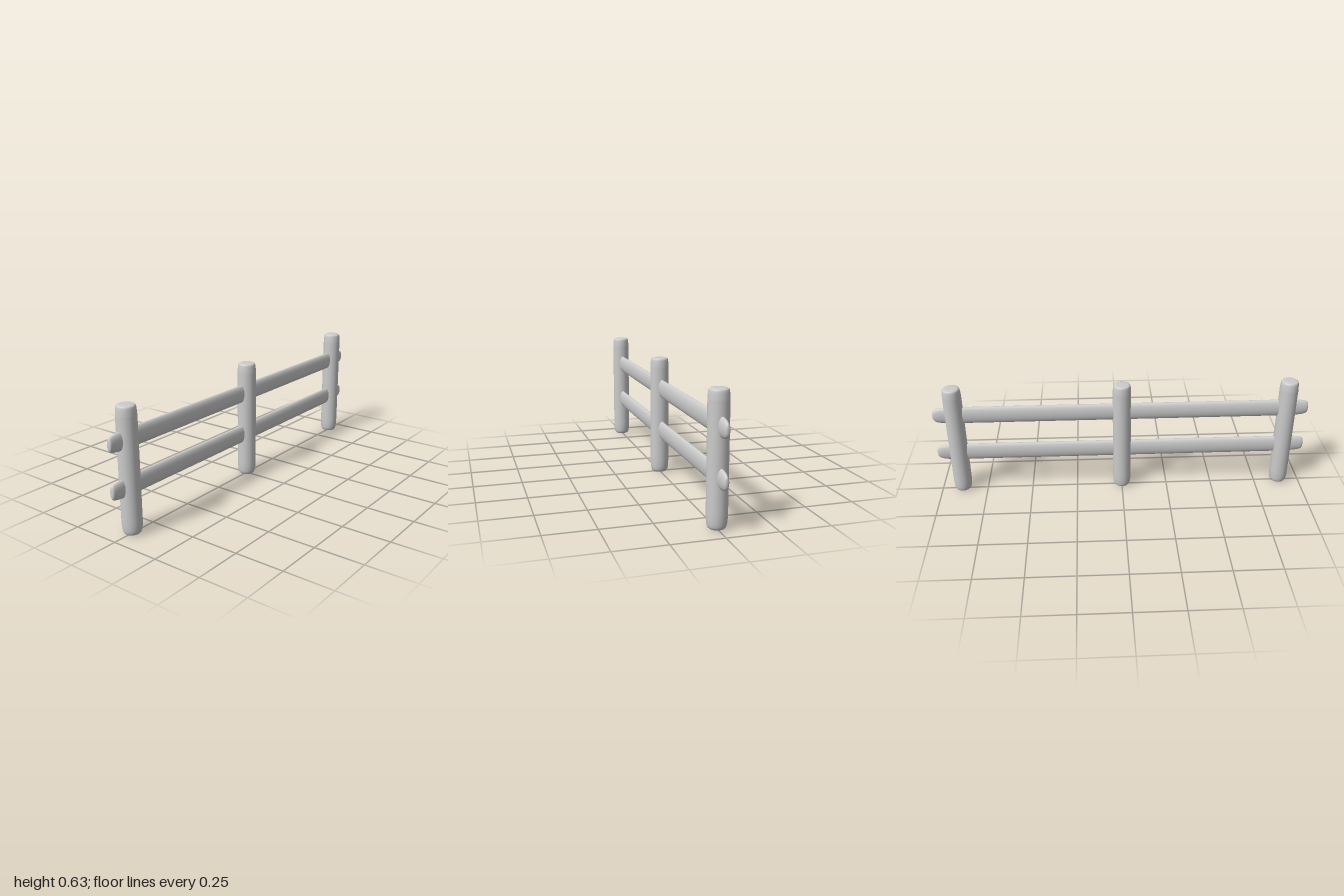
import * as THREE from 'three';

// Smooth round log along y, from a short list of [radius, height] points
function logGeometry(start, end, segments = 32) {
  const ends = [start, end].map(list =>
    new THREE.SplineCurve(list.map(([r, y]) => new THREE.Vector2(r, y))).getPoints(20));
  ends.forEach(pts => pts.forEach(p => { p.x = Math.max(0, p.x); }));
  return new THREE.LatheGeometry([...ends[0], ...ends[1]], segments);
}

export function createModel() {
  const fence = new THREE.Group();
  fence.name = 'fence';
  const material = new THREE.MeshStandardMaterial({ color: 0xcccccc });

  // Upright posts with softly worn ends
  const postGeometry = logGeometry(
    [[0, 0], [0.028, 0.002], [0.039, 0.007], [0.045, 0.02], [0.048, 0.045], [0.049, 0.075]],
    [[0.049, 0.58], [0.0475, 0.602], [0.045, 0.62], [0.04, 0.627], [0.028, 0.63], [0, 0.631]]);
  ['frontPost', 'middlePost', 'backPost'].forEach((name, i) => {
    const post = new THREE.Mesh(postGeometry, material);
    post.name = name;
    post.position.z = 0.885 * (1 - i);
    fence.add(post);
  });

  // Flattened oval rails running through the posts: blunt in front, rounder behind
  const railGeometry = logGeometry(
    [[0, -1], [0.025, -0.998], [0.036, -0.99], [0.042, -0.965], [0.0455, -0.93], [0.0475, -0.88]],
    [[0.0475, 0.88], [0.0465, 0.925], [0.043, 0.96], [0.036, 0.983], [0.022, 0.997], [0, 1]]);
  railGeometry.rotateX(-Math.PI / 2); // start of the log faces +z
  railGeometry.scale(0.4, 1, 1);
  [['lowerRail', 0.241], ['upperRail', 0.468]].forEach(([name, y]) => {
    const rail = new THREE.Mesh(railGeometry, material);
    rail.name = name;
    rail.position.y = y;
    fence.add(rail);
  });

  return fence;
}
